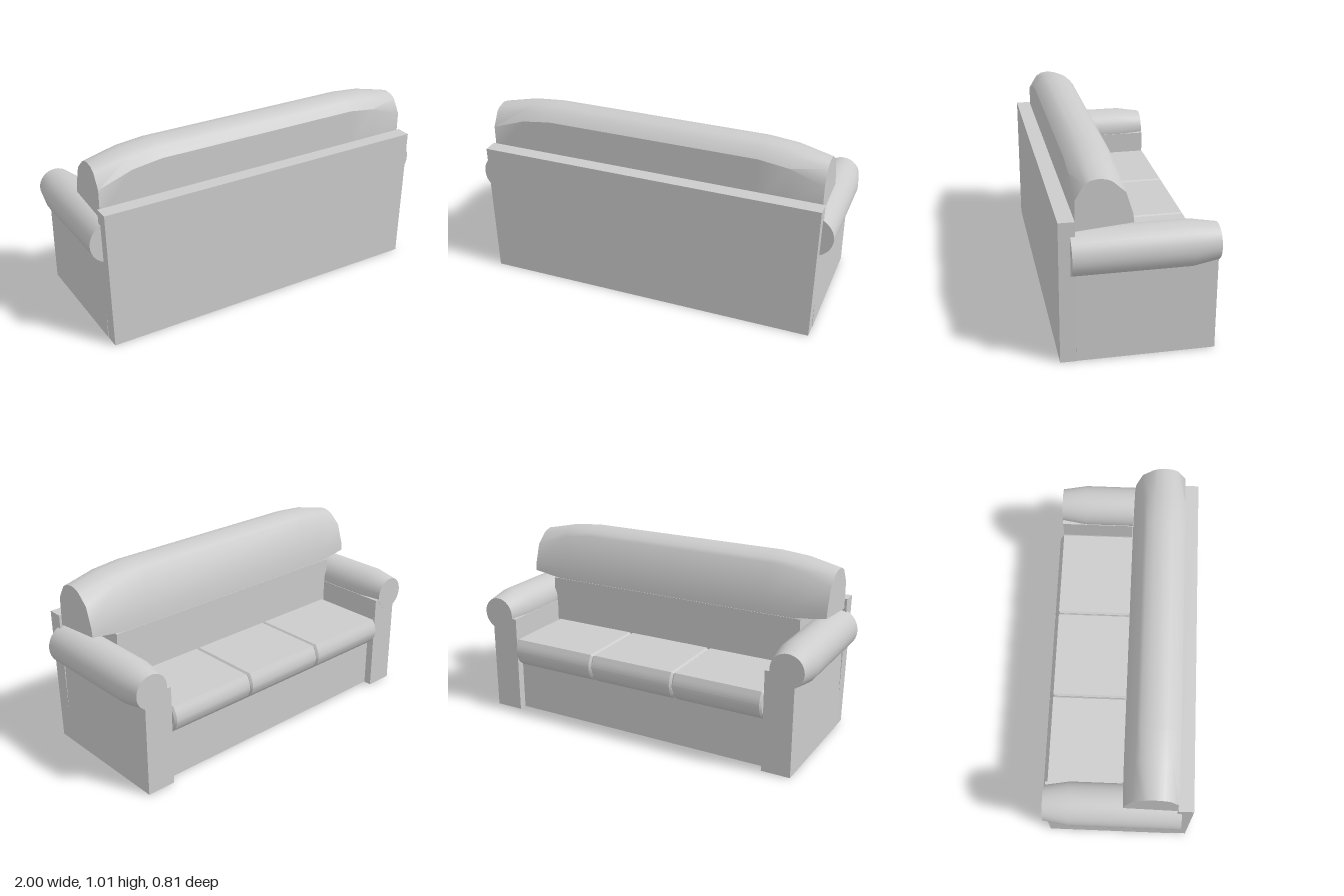
import * as THREE from 'three';
import { toCreasedNormals } from 'three/addons/utils/BufferGeometryUtils.js';

const material = new THREE.MeshStandardMaterial({ color: 0xcccccc });

function add(parent, name, geometry) {
  const mesh = new THREE.Mesh(geometry, material);
  mesh.name = name;
  parent.add(mesh);
  return mesh;
}

// Box given by its low and high limits on each axis
function box(x0, x1, y0, y1, z0, z1) {
  return new THREE.BoxGeometry(x1 - x0, y1 - y0, z1 - z0)
    .translate((x0 + x1) / 2, (y0 + y1) / 2, (z0 + z1) / 2);
}

// Closed (z, y) loops joined along x, with flat end caps
function loft(stations) {
  const pos = [];
  const n = stations[0].loop.length;
  const put = (s, i) => pos.push(s.x, s.loop[i % n][1], s.loop[i % n][0]);
  for (let k = 0; k < stations.length - 1; k++) {
    const a = stations[k], b = stations[k + 1];
    for (let i = 0; i < n; i++) {
      put(a, i); put(b, i); put(b, i + 1);
      put(a, i); put(b, i + 1); put(a, i + 1);
    }
  }
  const first = stations[0], last = stations[stations.length - 1];
  for (let i = 1; i < n - 1; i++) {
    put(first, 0); put(first, i); put(first, i + 1);
    put(last, 0); put(last, i + 1); put(last, i);
  }
  const g = new THREE.BufferGeometry();
  g.setAttribute('position', new THREE.Float32BufferAttribute(pos, 3));
  return toCreasedNormals(g, 0.6);
}

// Seat cushion: bulging front profile extruded along x with bevelled ends
function seatCushion(x0, x1) {
  const bevel = 0.01;
  const s = new THREE.Shape();
  s.moveTo(-0.06, 0.28);
  s.lineTo(0.345, 0.28);
  s.splineThru([[0.38, 0.31], [0.398, 0.345], [0.403, 0.373], [0.396, 0.405], [0.378, 0.442]]
    .map(([u, v]) => new THREE.Vector2(u, v)));
  s.lineTo(-0.06, 0.442);
  const g = new THREE.ExtrudeGeometry(s, {
    depth: x1 - x0 - 2 * bevel, curveSegments: 4,
    bevelSize: bevel, bevelThickness: bevel, bevelOffset: -bevel, bevelSegments: 1,
  });
  g.rotateY(Math.PI / 2).translate(x0 + bevel, 0, 0);
  return toCreasedNormals(g, 0.4);
}

// Back cushion: domed section that shrinks towards both ends
function backCushion() {
  const middle = [[0.32, 0.69], [0.32, 0.94], [0.285, 0.985], [0.245, 1.003], [0.2, 1.01],
    [0.15, 1.0], [0.115, 0.983], [0.095, 0.965], [0.04, 0.77], [0.035, 0.69]];
  const end = [[0.32, 0.7], [0.32, 0.855], [0.275, 0.93], [0.245, 0.948], [0.2, 0.955],
    [0.16, 0.946], [0.14, 0.935], [0.08, 0.88], [0.045, 0.77], [0.04, 0.725]];
  const steps = [[-0.925, 1], [-0.74, 0.25], [-0.58, 0], [0.58, 0], [0.74, 0.25], [0.925, 1]];
  return loft(steps.map(([x, f]) => ({
    x,
    loop: middle.map((p, i) => [
      THREE.MathUtils.lerp(p[0], end[i][0], f),
      THREE.MathUtils.lerp(p[1], end[i][1], f),
    ]),
  })));
}

export function createModel() {
  const sofa = new THREE.Group();
  sofa.name = 'sofa';

  // Rear panel, slightly wider at the top
  const panel = new THREE.Shape([[-0.925, 0], [0.925, 0], [0.938, 0.755], [-0.938, 0.755]]
    .map(([x, y]) => new THREE.Vector2(x, y)));
  add(sofa, 'backPanel', new THREE.ExtrudeGeometry(panel, { depth: 0.08, bevelEnabled: false })
    .translate(0, 0, 0.322));

  // Base with a thin front rail, open underneath
  add(sofa, 'seatBase', box(-0.77, 0.77, 0.045, 0.3, -0.32, 0.322));
  add(sofa, 'frontRail', box(-0.77, 0.77, 0.005, 0.3, -0.335, -0.32));

  // Arms: upright panel with a roll that tapers at its open end
  const roll = [[0, -0.345], [0.115, -0.345], [0.115, 0.245], [0.092, 0.38], [0, 0.38]]
    .map(([r, y]) => new THREE.Vector2(r, y));
  for (const side of [1, -1]) {
    const arm = new THREE.Group();
    arm.name = side > 0 ? 'leftArm' : 'rightArm';
    add(arm, 'armPanel', box(-0.08, 0.08, 0.003, 0.56, -0.379, 0.322)).position.x = side * 0.848;
    const g = toCreasedNormals(new THREE.LatheGeometry(roll, 32).rotateX(-Math.PI / 2), 0.6);
    add(arm, 'armRoll', g).position.set(side * 0.885, 0.577, 0);
    sofa.add(arm);
  }

  // Three seat cushions
  [[-0.765, -0.253], [-0.251, 0.251], [0.253, 0.765]].forEach(([x0, x1], i) =>
    add(sofa, `seatCushion${i + 1}`, seatCushion(x0, x1)));

  // Back cushion and its lower part between the arms
  add(sofa, 'backCushion', backCushion());
  add(sofa, 'backCushionLower', box(-0.785, 0.785, 0.3, 0.7, 0.033, 0.322));

  return sofa;
}
